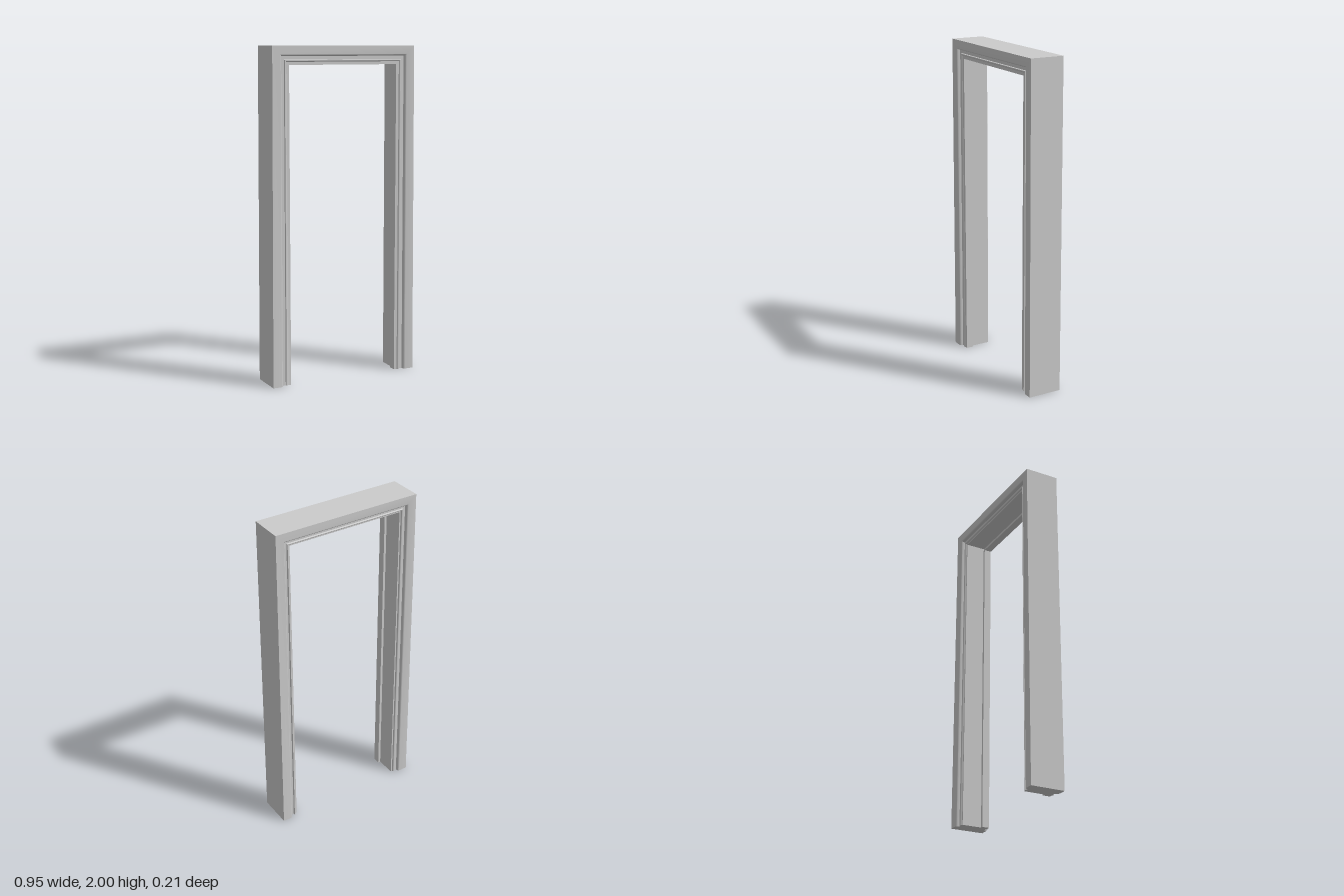
import * as THREE from 'three';
import { toCreasedNormals } from 'three/addons/utils/BufferGeometryUtils.js';

// Moulding cross-section: u runs from the outer edge (0) to the opening (1), v is depth z
function mouldingProfile() {
  const s = new THREE.Shape();
  s.moveTo(0, 0.104);
  s.lineTo(0.4, 0.104);
  s.quadraticCurveTo(0.5, 0.104, 0.52, 0.096); // rounded front casing
  s.lineTo(0.54, 0.083);
  s.lineTo(0.72, 0.083);
  s.lineTo(0.74, 0.091);
  s.quadraticCurveTo(0.8, 0.093, 0.84, 0.085); // small bead
  s.lineTo(1, 0.085);
  s.lineTo(1, 0.04);      // door stop
  s.lineTo(0.87, 0.04);
  s.lineTo(0.87, -0.082); // rebate
  s.lineTo(0.8, -0.082);
  s.quadraticCurveTo(0.77, -0.092, 0.72, -0.091);
  s.lineTo(0.69, -0.083);
  s.lineTo(0.54, -0.083);
  s.lineTo(0.52, -0.096);
  s.quadraticCurveTo(0.5, -0.104, 0.4, -0.104); // rounded back casing
  s.lineTo(0, -0.104);
  const points = s.getPoints(5);
  if (points[0].equals(points[points.length - 1])) points.pop();
  return points;
}

// Sweeps the profile up one leg, across the mitred head and down the other leg
function frameGeometry() {
  const profile = mouldingProfile();
  const n = profile.length;
  const lerp = THREE.MathUtils.lerp;
  const foot = side => profile.map(p => [side * lerp(0.475, 0.352, p.x), 0, p.y]);
  const mitre = side => profile.map(p => [side * lerp(0.464, 0.352, p.x), lerp(2, 1.89, p.x), p.y]);
  const rings = [foot(1), mitre(1), mitre(-1), foot(-1)];
  const index = [];
  for (let r = 0; r < rings.length - 1; r++) {
    for (let i = 0; i < n; i++) {
      const j = (i + 1) % n;
      const a = r * n + i, b = (r + 1) * n + i, c = (r + 1) * n + j, d = r * n + j;
      index.push(a, b, c, a, c, d);
    }
  }

  // Feet, both facing down
  const faces = THREE.ShapeUtils.triangulateShape(profile, []);
  for (const r of [0, 3]) {
    for (const [a, b, c] of faces) {
      const [A, B, C] = [a, b, c].map(k => rings[r][k]);
      const ny = (B[2] - A[2]) * (C[0] - A[0]) - (B[0] - A[0]) * (C[2] - A[2]);
      const o = r * n;
      if (ny < 0) index.push(o + a, o + b, o + c);
      else index.push(o + a, o + c, o + b);
    }
  }

  const geometry = new THREE.BufferGeometry();
  geometry.setAttribute('position', new THREE.Float32BufferAttribute(rings.flat(2), 3));
  geometry.setIndex(index);
  return toCreasedNormals(geometry, 0.5);
}

export function createModel() {
  const group = new THREE.Group();
  group.name = 'doorway';
  const material = new THREE.MeshStandardMaterial({ color: 0xcccccc });
  const frame = new THREE.Mesh(frameGeometry(), material);
  frame.name = 'doorFrame';
  group.add(frame);
  return group;
}
